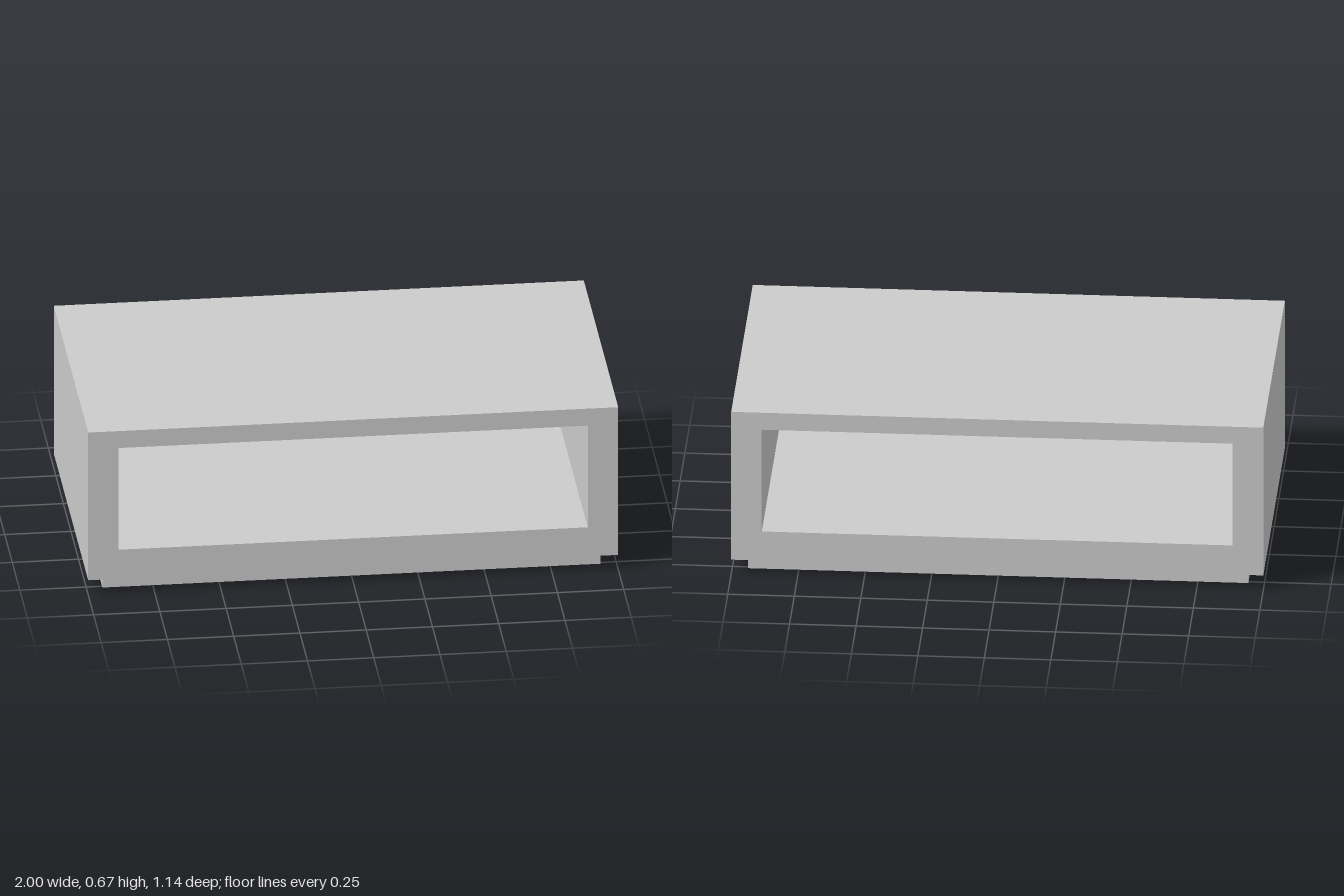
import * as THREE from 'three';

const material = new THREE.MeshStandardMaterial({ color: 0xcccccc, flatShading: true });

// Rectangular frame (outer and inner bounds as [x0, y0, x1, y1]) extruded along z
function frame(name, outer, inner, depth) {
  const corners = ([x0, y0, x1, y1]) => [[x0, y0], [x1, y0], [x1, y1], [x0, y1]].map(p => new THREE.Vector2(...p));
  const shape = new THREE.Shape(corners(outer));
  shape.holes.push(new THREE.Path(corners(inner).reverse()));
  const geometry = new THREE.ExtrudeGeometry(shape, { depth, bevelEnabled: false });
  geometry.translate(0, 0, -depth / 2);
  const mesh = new THREE.Mesh(geometry, material);
  mesh.name = name;
  return mesh;
}

export function createModel() {
  const group = new THREE.Group();
  group.name = 'coffeeTable';

  // Thick-walled body, open from front to back
  group.add(frame('body', [-1, 0.06, 1, 0.67], [-0.885, 0.18, 0.885, 0.6], 1.14));

  // Recessed hollow plinth: a flat frame turned to lie on the ground
  const plinth = frame('plinth', [-0.94, -0.512, 0.94, 0.512], [-0.91, -0.482, 0.91, 0.482], 0.06);
  plinth.rotation.x = -Math.PI / 2;
  plinth.position.y = 0.03;
  group.add(plinth);

  return group;
}
